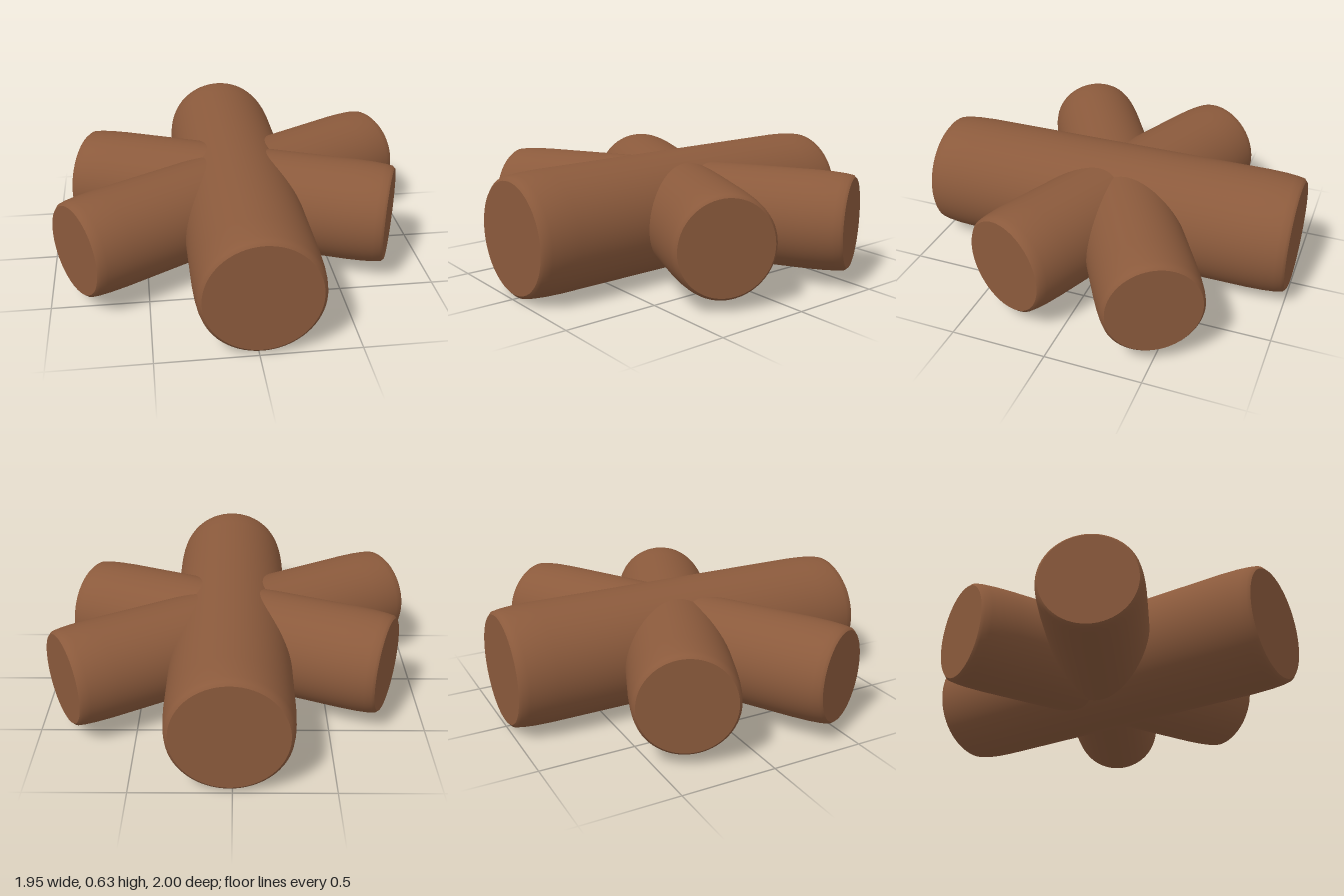
import * as THREE from 'three';

const bark = new THREE.MeshStandardMaterial({ color: 0x8b5a3c });
bark.name = 'brown wood';

// A round log along z with softly worn rims and flat cut ends
function makeLog(name, radius, half) {
  const log = new THREE.Group();
  log.name = name;

  const rim = [[0.9, 0], [0.95, 0.014], [0.972, 0.05], [0.99, 0.11], [1, 0.2]];
  const lower = rim.map(([r, d]) => new THREE.Vector2(r * radius, d - half));
  const upper = rim.map(([r, d]) => new THREE.Vector2(r * radius, half - d)).reverse();
  const side = new THREE.LatheGeometry([...lower, ...upper], 64).rotateX(Math.PI / 2);
  const body = new THREE.Mesh(side, bark);
  body.name = name + 'Body';
  log.add(body);

  for (const s of [1, -1]) {
    const end = new THREE.Mesh(new THREE.CircleGeometry(radius * 0.9, 64), bark);
    end.name = name + (s > 0 ? 'FrontEnd' : 'BackEnd');
    end.position.z = s * half;
    if (s < 0) end.rotation.y = Math.PI;
    log.add(end);
  }
  return log;
}

export function createModel() {
  const model = new THREE.Group();
  model.name = 'crossedLogs';

  // name, radius, half length, centre x, y, z, heading from +z in degrees
  const logs = [
    ['mainLog', 0.316, 1, 0.014, 0.316, 0, 0],
    ['longCrossLog', 0.26, 0.99, 0, 0.32, -0.015, 119.8],
    ['shortCrossLog', 0.271, 0.864, 0, 0.32, -0.032, 67.5],
  ];
  for (const [name, radius, half, x, y, z, heading] of logs) {
    const log = makeLog(name, radius, half);
    log.position.set(x, y, z);
    log.rotation.y = THREE.MathUtils.degToRad(heading);
    model.add(log);
  }
  return model;
}
